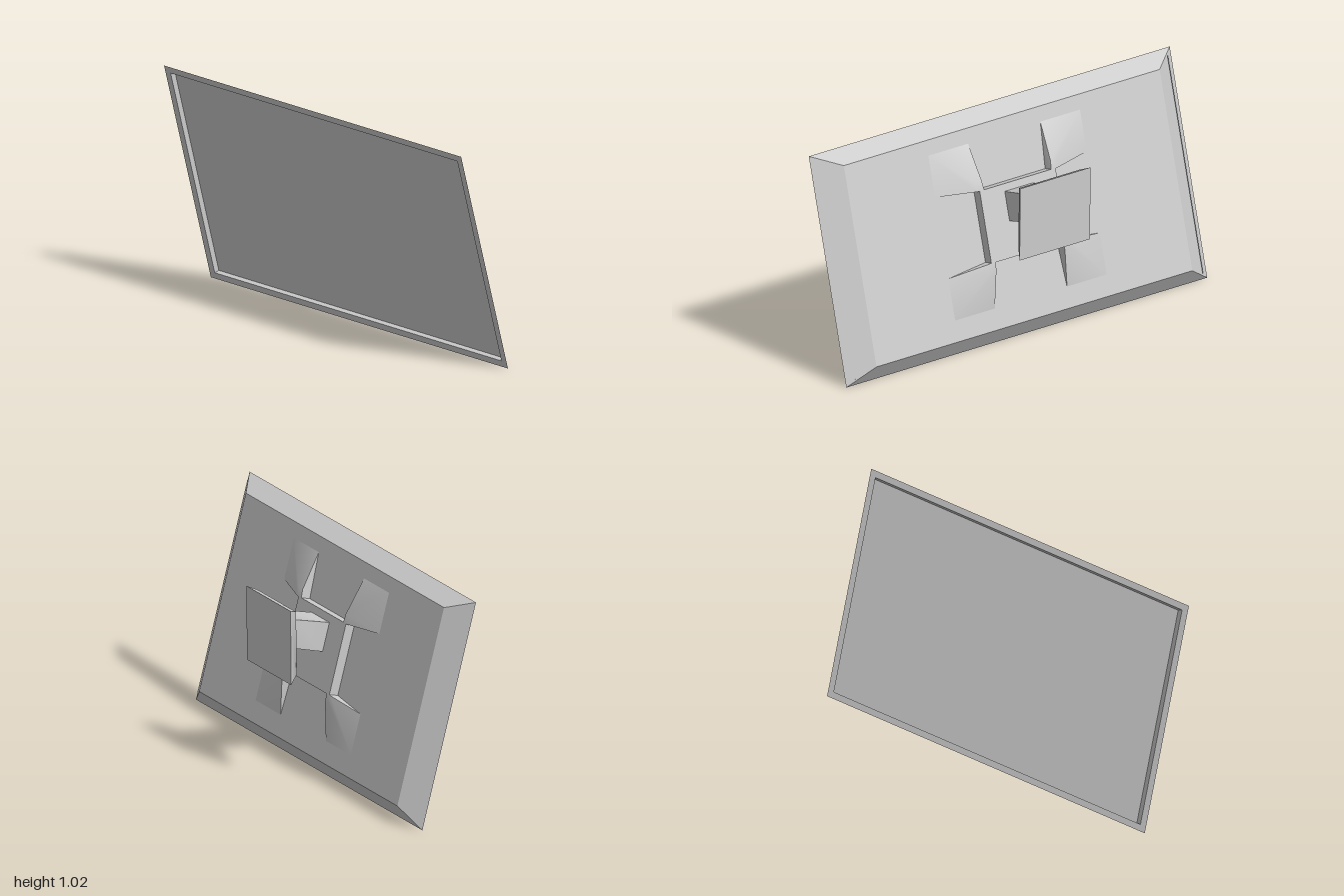
import * as THREE from 'three';
import { toCreasedNormals } from 'three/addons/utils/BufferGeometryUtils.js';

const material = new THREE.MeshStandardMaterial({ color: 0xcccccc });

// Skin four-cornered rings, each ordered clockwise as seen from the front.
function loft(rings, crease, startCap = true) {
  const positions = rings.flat(2);
  const index = [];
  const quad = (a, b, c, d) => index.push(a, b, c, a, c, d);
  for (let r = 0; r < rings.length - 1; r++) {
    for (let i = 0; i < 4; i++) {
      const a = r * 4 + i, b = r * 4 + (i + 1) % 4;
      quad(a, b, b + 4, a + 4);
    }
  }
  const end = (rings.length - 1) * 4;
  quad(end, end + 1, end + 2, end + 3);
  if (startCap) quad(3, 2, 1, 0);
  const geometry = new THREE.BufferGeometry();
  geometry.setAttribute('position', new THREE.Float32BufferAttribute(positions, 3));
  geometry.setIndex(index);
  return toCreasedNormals(geometry, crease);
}

function part(name, geometry) {
  const mesh = new THREE.Mesh(geometry, material);
  mesh.name = name;
  return mesh;
}

// Ring with separate heights and depths for its bottom and top edges.
const ring = (x, y0, z0, y1, z1) => [[-x, y0, z0], [-x, y1, z1], [x, y1, z1], [x, y0, z0]];
const flatRing = (x, y, z) => ring(x, -y, z, y, z);

export function createModel() {
  const model = new THREE.Group();
  model.name = 'wallDisplay';

  // Tilted display, built upright with its front at z = 0
  const display = new THREE.Group();
  display.name = 'display';
  display.position.set(0, 0.51, 0.105);
  display.rotation.x = THREE.MathUtils.degToRad(15);
  model.add(display);

  // Housing: recess wall, bezel and tapered back
  display.add(part('housing', loft([
    flatRing(0.965, 0.496, -0.025),
    flatRing(0.965, 0.496, 0),
    flatRing(1, 0.526, 0),
    flatRing(0.875, 0.458, -0.0755),
  ], 0.3, false)));

  const screen = part('screen', new THREE.PlaneGeometry(1.93, 0.992));
  screen.position.z = -0.025;
  display.add(screen);

  // Raised bracket on the back: centre plate and four sloping corner feet
  const bracket = new THREE.Group();
  bracket.name = 'bracket';
  bracket.position.y = 0.014;
  display.add(bracket);

  const top = -0.12, base = -0.0755;
  const plate = part('bracketPlate', new THREE.BoxGeometry(0.42, 0.33, 0.05));
  plate.position.z = top + 0.025;
  bracket.add(plate);

  const footBase = [[0.19, 0.165], [0.2, 0.375], [0.42, 0.375], [0.42, 0.185]];
  const footTop = [[0.19, 0.165], [0.19, 0.203], [0.225, 0.203], [0.225, 0.165]];
  // Inner corners reach into the plate so the foot joins it
  footBase[0] = footTop[0] = [0.185, 0.16];
  for (const sx of [-1, 1]) {
    for (const sy of [-1, 1]) {
      const place = (points, z) => {
        const placed = points.map(([x, y]) => [x * sx, y * sy, z]);
        return sx * sy < 0 ? placed.reverse() : placed;
      };
      bracket.add(part('bracketFoot', loft([place(footBase, base), place(footTop, top)], 0.6)));
    }
  }

  // Square arm flaring into the upright wall plate
  model.add(part('wallMount', loft([
    ring(0.078, 0.55, -0.005, 0.68, 0.03),
    ring(0.078, 0.59, -0.15, 0.725, -0.15),
    ring(0.168, 0.505, -0.19, 0.797, -0.195),
    ring(0.195, 0.47, -0.235, 0.815, -0.238),
  ], 1.15)));

  return model;
}
